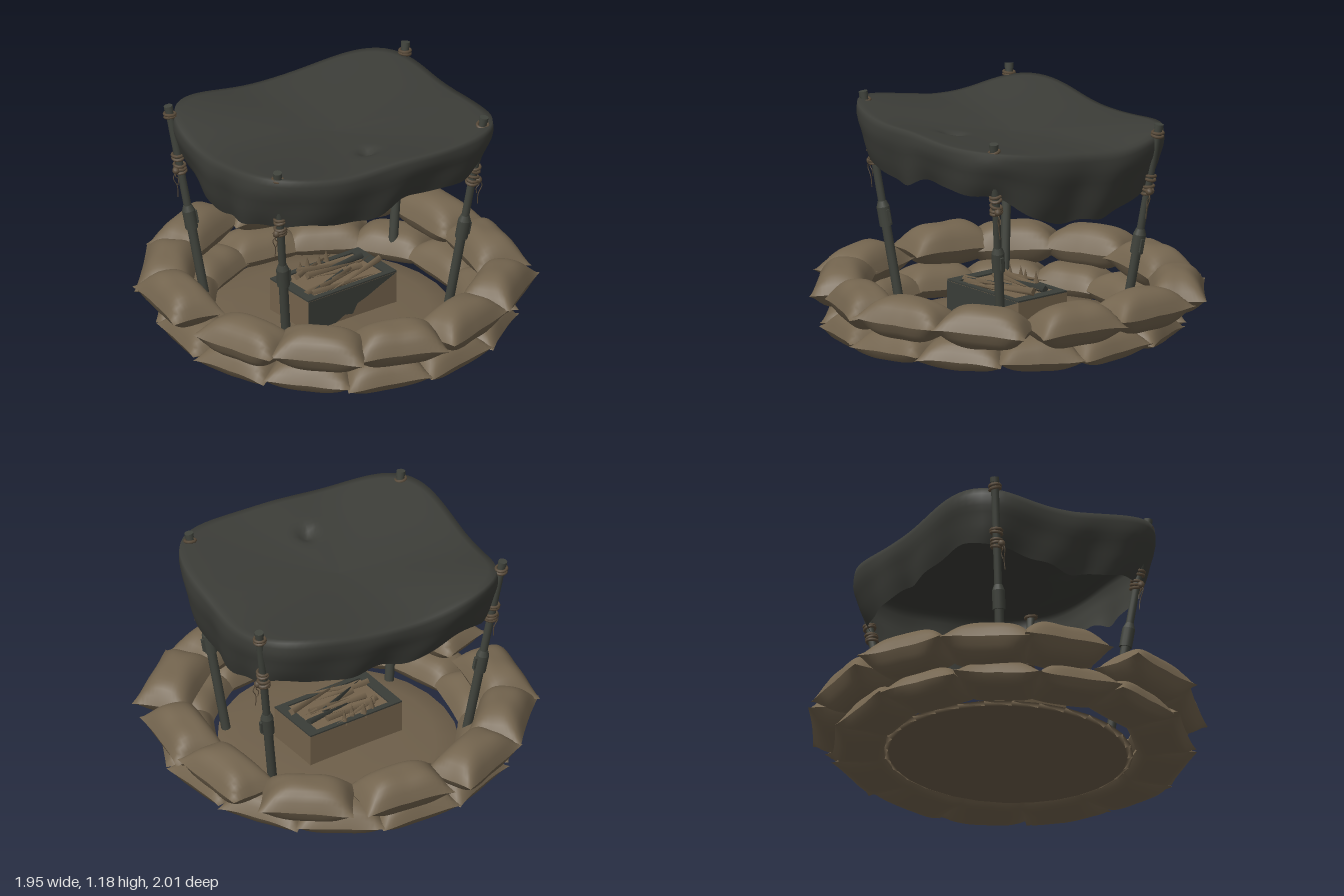
import * as THREE from 'three';
import { mergeGeometries } from 'three/addons/utils/BufferGeometryUtils.js';

const mat = (name, color, side = THREE.FrontSide) => {
  const m = new THREE.MeshStandardMaterial({ color, side });
  m.name = name;
  return m;
};

let seed = 7;
const rnd = (a, b) => {
  seed = (seed * 16807) % 2147483647;
  return a + (b - a) * (seed / 2147483647);
};

// Sandbag: two domed sheets meeting at a seam with pointed corners;
// flat is the edge steepness of the underside
function bagGeometry(len, wid, up, down, flat, phase) {
  const sheet = (sign, height, edge) => {
    const g = new THREE.PlaneGeometry(2, 2, 18, 14).rotateX(-sign * Math.PI / 2);
    const p = g.attributes.position;
    for (let i = 0; i < p.count; i++) {
      const u = p.getX(i), v = p.getZ(i);
      const dome = Math.max(0, 1 - Math.abs(u) ** 3.6) ** 0.85 * Math.max(0, 1 - Math.abs(v) ** edge) ** 0.85;
      const wrinkle = 1 + 0.04 * Math.sin(5 * u + phase) * Math.cos(3 * v + 2 * phase);
      const droop = 0.012 * Math.sin(2.5 * u + phase) * Math.abs(u * v);
      p.setXYZ(i,
        len * u * (1 - 0.06 * (1 - v * v)),
        sign * height * dome * wrinkle + droop,
        wid * v * (1 - 0.06 * (1 - u * u)));
    }
    g.computeVertexNormals();
    return g;
  };
  return mergeGeometries([sheet(1, up, 3), sheet(-1, down, flat)]);
}

// Canopy: sagging rounded-square roof that rolls over its rim into a hanging drape
function canopyGeometry() {
  const A = 120, roof = 20, drape = 9, pos = [], idx = [];
  const rows = roof + drape;
  for (let j = 0; j <= rows; j++) {
    for (let i = 0; i < A; i++) {
      const th = (i / A) * Math.PI * 2, s = Math.sin(th), c = Math.cos(th);
      const r = 1 / (Math.abs(s) ** 4.2 + Math.abs(c) ** 4.2) ** (1 / 4.2);
      const corner = Math.sin(2 * th) ** 4;
      const front = Math.max(0, c), back = Math.max(0, -c), right = Math.max(0, -s);
      const rim = 1.085 + 0.04 * corner + 0.045 * front + 0.01 * Math.sin(5 * th + 1);
      const hem = 0.715 + front ** 2 * (0.14 + 0.045 * Math.tanh(4 * s)) + 0.1 * back ** 2 + 0.05 * right ** 2
        + 0.07 * corner + 0.01 * Math.sin(9 * th) + 0.006 * Math.sin(17 * th);
      let k, y;
      if (j <= roof) {
        k = j / roof;
        y = rim * k * k + (1 - k * k) * 1.04 + 0.012 * Math.sin(Math.PI * k) - 0.01 * k ** 10;
        const x = 0.72 * r * k * s, z = 0.615 * r * k * c;
        y -= 0.04 * Math.exp(-(x * x + (z - 0.34) ** 2) / 0.002);
      } else {
        const d = (j - roof) / drape;
        k = 1 + 0.012 * Math.sin(Math.PI * Math.min(1, d * 2)) - 0.09 * d * d + 0.02 * d * Math.sin(11 * th + 2 * d);
        y = (rim - 0.01) * (1 - d) + hem * d;
      }
      pos.push(0.72 * r * k * s + 0.008, y, 0.615 * r * k * c - 0.012);
    }
  }
  for (let j = 0; j < rows; j++) {
    for (let i = 0; i < A; i++) {
      const n = (i + 1) % A, a = j * A + i, b = j * A + n, c = a + A, d = b + A;
      idx.push(a, c, b, b, c, d);
    }
  }
  const g = new THREE.BufferGeometry();
  g.setAttribute('position', new THREE.Float32BufferAttribute(pos, 3));
  g.setIndex(idx);
  g.computeVertexNormals();
  return g;
}

export function createModel() {
  const model = new THREE.Group();
  const sand = mat('sandbag canvas', 0x74654f);
  const earth = mat('earth', 0x6e5f4a);
  const wood = mat('crate wood', 0x74634c);
  const cloth = mat('dark canopy cloth', 0x3c3d38, THREE.DoubleSide);
  const metal = mat('pole metal', 0x40433c);
  const rope = mat('rope', 0x584a39);
  const dark = mat('dark paint', 0x3a3d38, THREE.DoubleSide);

  const add = (parent, name, geo, material, x = 0, y = 0, z = 0) => {
    const m = new THREE.Mesh(geo, material);
    m.name = name;
    m.position.set(x, y, z);
    parent.add(m);
    return m;
  };

  // Sandbag wall: rings of bags given as [x, z, facing in degrees, seam height]
  const ring = (name, bags, geos) => {
    const group = new THREE.Group();
    group.name = name;
    bags.forEach(([x, z, deg, y], i) => {
      const bag = add(group, 'sandbag', geos[i % 3], sand, x, y, z);
      bag.rotation.set(rnd(-0.03, 0.03), THREE.MathUtils.degToRad(deg), rnd(-0.02, 0.02), 'YXZ');
    });
    model.add(group);
  };
  const lower = Array.from({ length: 13 }, (_, i) => {
    const deg = 15 + (i * 360) / 13, a = THREE.MathUtils.degToRad(deg);
    return [0.745 * Math.sin(a), 0.76 * Math.cos(a) + 0.025, deg, 0.062];
  });
  const upper = [
    [0.08, -0.82, 178, 0.232], [0.53, -0.68, 148, 0.23], [0.78, -0.3, 98, 0.232], [0.81, 0.13, 85, 0.225],
    [0.64, 0.55, 42, 0.232], [0.28, 0.775, 25, 0.232], [-0.1, 0.8, -17, 0.222], [-0.47, 0.68, -40, 0.232],
    [-0.73, 0.39, -67, 0.225], [-0.81, -0.16, -95, 0.232], [-0.68, -0.48, -128, 0.222], [-0.37, -0.755, -150, 0.232],
  ];
  ring('lowerSandbagRing', lower, [0, 2, 4].map((p) => bagGeometry(0.225, 0.15, 0.105, 0.055, 6, p)));
  ring('upperSandbagRing', upper, [1, 3, 5].map((p) => bagGeometry(0.245, 0.145, 0.117, 0.1, 3, p)));

  // Slightly mounded oval earth floor
  const floorProfile = [[0, 0.01], [0.59, 0.01], [0.62, 0.025], [0.5, 0.045], [0.3, 0.055], [0, 0.06]];
  add(model, 'earthFloor', new THREE.LatheGeometry(floorProfile.map(([x, y]) => new THREE.Vector2(x, y)), 28), earth)
    .scale.set(0.97, 1, 1.04);

  // Crate with flaked dark paint and splintered planks on top
  const crate = new THREE.Group();
  crate.name = 'crate';
  crate.position.set(0, 0.045, 0);
  crate.rotation.y = 0.12;
  model.add(crate);
  add(crate, 'crateBox', new THREE.BoxGeometry(0.56, 0.18, 0.32), wood, 0, 0.09, 0);
  const patch = new THREE.Shape([[-0.28, 0], [-0.2, 0.02], [-0.13, 0.0], [-0.05, 0.04], [0.0, 0.03], [0.03, 0.08],
    [0.09, 0.1], [0.18, 0.14], [0.28, 0.18], [-0.28, 0.18]].map(([x, y]) => new THREE.Vector2(x, y)));
  add(crate, 'frontPaint', new THREE.ShapeGeometry(patch), dark, 0, 0, 0.163);
  for (const s of [-1, 1]) {
    add(crate, 'topEndPaint', new THREE.BoxGeometry(0.06, 0.008, 0.32), dark, s * 0.25, 0.184, 0);
    add(crate, 'topEdgePaint', new THREE.BoxGeometry(0.56, 0.008, 0.03), dark, 0, 0.184, s * 0.145);
  }
  for (let i = 0; i < 11; i++) {
    const plank = add(crate, 'splinteredPlank', new THREE.ConeGeometry(0.022, rnd(0.26, 0.42), 4), i % 4 === 3 ? dark : wood,
      rnd(-0.08, 0.08), 0.193 + rnd(0, 0.012), -0.12 + i * 0.024);
    plank.rotation.set(0, rnd(-0.35, 0.35), (i % 2 ? 1 : -1) * (Math.PI / 2 + rnd(-0.1, 0.06)));
  }
  for (let i = 0; i < 4; i++) {
    add(crate, 'splinter', new THREE.ConeGeometry(0.025, 0.08, 4), wood, -0.12 + i * 0.06, 0.21, -0.12 - (i % 2) * 0.02);
  }

  // Leaning poles with sleeves and rope lashings
  const pole = (name, top, foot) => {
    const a = new THREE.Vector3(...foot), b = new THREE.Vector3(...top);
    const length = a.distanceTo(b);
    const group = new THREE.Group();
    group.name = name;
    group.position.copy(a);
    group.quaternion.setFromUnitVectors(new THREE.Vector3(0, 1, 0), b.clone().sub(a).normalize());
    model.add(group);
    const tube = (part, r0, r1, y0, y1) =>
      add(group, part, new THREE.CylinderGeometry(r1, r0, y1 - y0, 12), metal, 0, (y0 + y1) / 2, 0);
    tube('lowerPole', 0.024, 0.024, 0, 0.5);
    tube('upperPole', 0.02, 0.02, 0.5, length);
    tube('poleSleeve', 0.033, 0.033, 0.46, 0.56);
    tube('sleeveCollar', 0.033, 0.022, 0.56, 0.59);
    tube('poleTip', 0.023, 0.023, length - 0.025, length);
    add(group, 'sleeveLatch', new THREE.BoxGeometry(0.016, 0.07, 0.018), metal, 0.034, 0.51, 0);
    for (const y of [0.785, 0.802, 0.82, 0.86, 0.876, length - 0.06, length - 0.045]) {
      const wrap = add(group, 'ropeWrap', new THREE.TorusGeometry(0.028, 0.008, 6, 14), rope, 0, y, 0);
      wrap.rotation.set(Math.PI / 2 + rnd(-0.25, 0.25), rnd(-0.2, 0.2), 0);
    }
    const o = Math.sign(top[0]);
    add(group, 'ropeKnot', new THREE.SphereGeometry(0.02, 8, 6), rope, 0.03 * o, 0.8, 0.01);
    // Loose cord ends
    for (const [dx, drop] of [[0.05, 0.14], [0.035, 0.08]]) {
      const path = new THREE.CatmullRomCurve3([[0.025, 0], [dx + 0.005, -0.03], [dx - 0.008, -drop * 0.6], [dx, -drop]]
        .map(([x, y]) => new THREE.Vector3(o * x, 0.8 + y, dx * 0.3)));
      add(group, 'looseCord', new THREE.TubeGeometry(path, 12, 0.0025, 5), rope);
    }
  };
  for (const s of [-1, 1]) {
    const side = s > 0 ? 'Left' : 'Right';
    pole('front' + side + 'Pole', [s * 0.605, 1.18, 0.475], [s * 0.465, 0.03, 0.335]);
    pole('back' + side + 'Pole', [s * 0.695, 1.165, -0.465], [s * 0.54, 0.03, -0.335]);
  }

  add(model, 'canopy', canopyGeometry(), cloth);
  return model;
}
